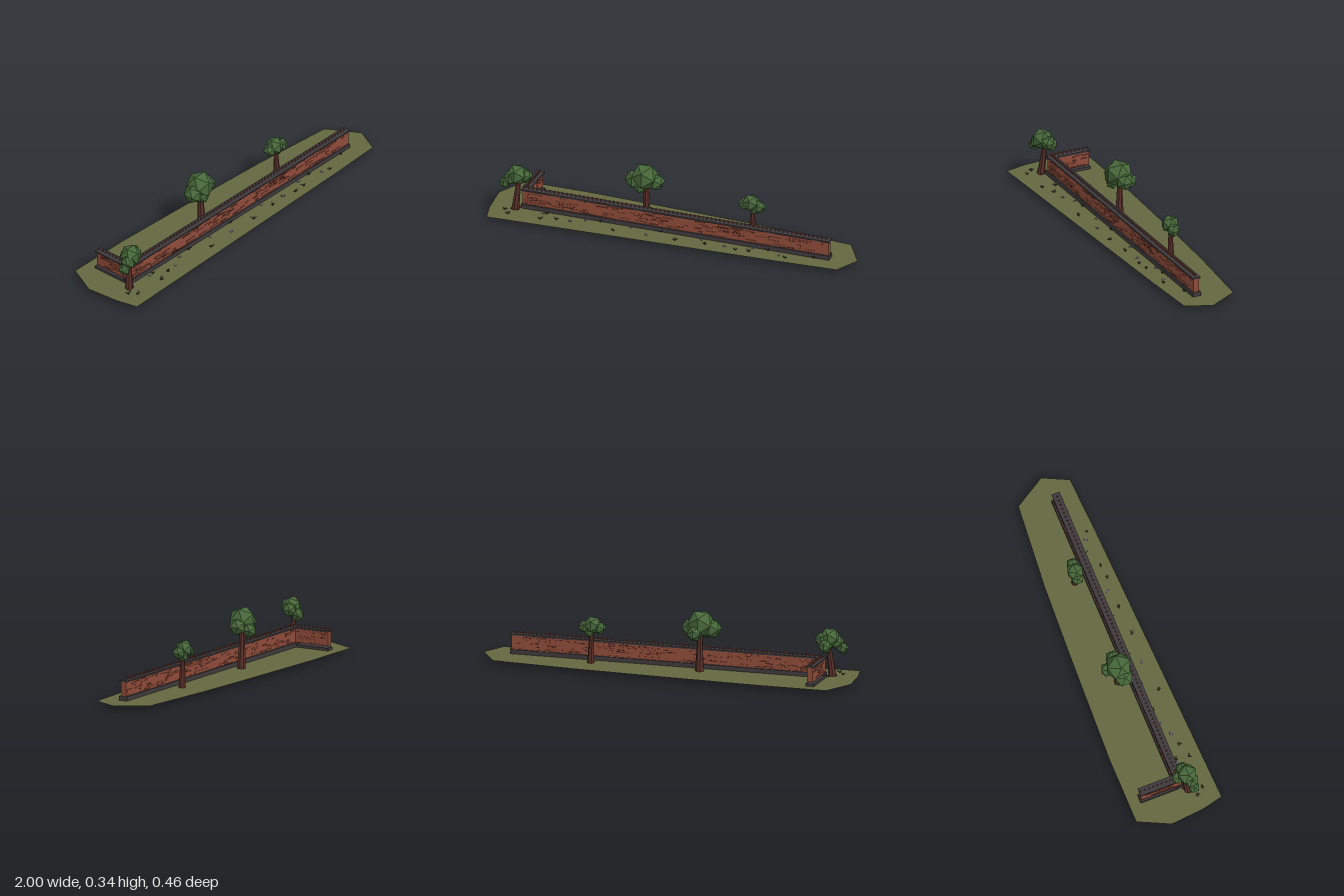
import * as THREE from 'three';
import { mergeGeometries } from 'three/addons/utils/BufferGeometryUtils.js';

const GROUND = 0.025;

export function createModel() {
  const root = new THREE.Group();
  root.name = 'walledGarden';

  const paint = (name, color, extra = {}) => {
    const m = new THREE.MeshStandardMaterial({ color, flatShading: true, ...extra });
    m.name = name;
    return m;
  };
  const mats = {
    ground: paint('mossyGround', 0x62673f, { side: THREE.DoubleSide }),
    brick: paint('redBrick', 0x8e4b39),
    darkBrick: paint('darkBrick', 0x572c24),
    stone: paint('darkStone', 0x3e393c),
    bark: paint('bark', 0x5a3029),
    leaf: paint('leaves', 0x47683a),
    grass: paint('grassBlades', 0x2b3a22, { side: THREE.DoubleSide }),
    pebble: paint('pebble', 0x5c5c66),
  };

  let seed = 7;
  const rand = (a = 0, b = 1) => {
    seed = (seed * 16807) % 2147483647;
    return a + (b - a) * (seed / 2147483647);
  };
  const add = (parent, name, geo, mat) => {
    const mesh = new THREE.Mesh(geo, mat);
    mesh.name = name;
    parent.add(mesh);
    return mesh;
  };
  const group = (name) => {
    const g = new THREE.Group();
    g.name = name;
    root.add(g);
    return g;
  };
  // box given by its limits
  const box = (x0, x1, y0, y1, z0, z1) => new THREE.BoxGeometry(x1 - x0, y1 - y0, z1 - z0)
    .translate((x0 + x1) / 2, (y0 + y1) / 2, (z0 + z1) / 2);
  // tapered round piece running between two points
  const limb = (a, b, ra, rb, sides = 7) => {
    const p = new THREE.Vector3(...a), q = new THREE.Vector3(...b);
    const d = q.clone().sub(p);
    const geo = new THREE.CylinderGeometry(rb, ra, d.length(), sides);
    geo.applyQuaternion(new THREE.Quaternion().setFromUnitVectors(
      new THREE.Vector3(0, 1, 0), d.clone().normalize()));
    return geo.translate(...p.add(q).multiplyScalar(0.5).toArray());
  };

  // Ground sheet
  const outline = [[-0.92, -0.235], [-0.556, -0.235], [0.05, -0.21], [0.444, -0.19], [0.9, -0.15],
    [1, 0.016], [0.936, 0.15], [0.62, 0.166], [-0.957, 0.222], [-0.984, 0.107], [-1, -0.07]];
  const sheet = new THREE.Shape(outline.map(([x, z]) => new THREE.Vector2(x, -z)));
  add(root, 'ground', new THREE.ShapeGeometry(sheet).rotateX(-Math.PI / 2).translate(0, GROUND, 0), mats.ground);

  // Brick wall along local x, centred on z = 0
  function buildWall(name, length, bodyBottom, baseTop, spikeStart) {
    const wall = group(name);
    const half = length / 2;
    add(wall, 'base', box(-half, half, GROUND - 0.001, baseTop, -0.023, 0.023), mats.stone);
    add(wall, 'body', box(-half + 0.005, half - 0.005, bodyBottom, 0.123, -0.015, 0.015), mats.brick);
    add(wall, 'cap', box(-half, half, 0.122, 0.13, -0.022, 0.022), mats.stone);

    // uneven bricks, raised from both faces
    const rows = 8, rowH = (0.121 - bodyBottom) / rows;
    const sets = { darkBrick: [], brick: [] };
    for (const side of [-1, 1]) {
      for (let i = 0; i < length * 85; i++) {
        const w = rand(0.015, 0.065), x = rand(-half + 0.006, half - 0.006 - w);
        const y = bodyBottom + Math.floor(rand(0, rows)) * rowH;
        const dark = rand() < 0.4;
        const d = dark ? rand(0.001, 0.002) : rand(0.002, 0.003);
        const h = dark ? rowH * rand(0.35, 0.8) : rowH * 0.85;
        const z = side * (0.015 + d / 2);
        sets[dark ? 'darkBrick' : 'brick'].push(box(x, x + w, y, y + h, z - d / 2, z + d / 2));
      }
    }
    add(wall, 'darkBricks', mergeGeometries(sets.darkBrick), mats.darkBrick);
    add(wall, 'raisedBricks', mergeGeometries(sets.brick), mats.brick);

    // row of spearheads
    const spikes = [];
    for (let x = -half + spikeStart; x < half - 0.008; x += 0.0233) {
      spikes.push(new THREE.CylinderGeometry(0.005, 0.0032, 0.006, 6).translate(x, 0.133, 0));
      spikes.push(new THREE.ConeGeometry(0.005, 0.012, 6).translate(x, 0.142, 0));
    }
    add(wall, 'spikes', mergeGeometries(spikes), mats.brick);
    return wall;
  }
  buildWall('longWall', 1.69, 0.045, 0.048, 0.012).position.set(0.015, 0, 0.039);
  const sideWall = buildWall('sideWall', 0.21, 0.048, 0.039, 0.015);
  sideWall.rotation.y = Math.PI / 2;
  sideWall.position.set(-0.812, 0, -0.07);

  // Trees: trunk from foot to crown, blobs are [x, y, z, half height]
  function buildTree(name, foot, crown, r, blobs) {
    const tree = group(name);
    add(tree, 'trunk', limb(foot, crown, r, r * 0.55), mats.bark);
    blobs.forEach(([x, y, z, h], i) => {
      const top = [x, y, z];
      if (i) add(tree, 'branch', limb(crown, top, r * 0.35, r * 0.2, 5), mats.bark);
      add(tree, 'foliage', new THREE.IcosahedronGeometry(h / 0.85, 0).translate(...top), mats.leaf);
    });
    return tree;
  }
  const corner = buildTree('cornerTree', [-0.855, 0.02, 0.077], [-0.84, 0.19, 0.062], 0.021, [
    [-0.842, 0.223, 0.077, 0.048], [-0.805, 0.215, 0.065, 0.034], [-0.872, 0.203, 0.087, 0.035],
    [-0.905, 0.172, 0.09, 0.027], [-0.83, 0.187, 0.033, 0.031]]);
  buildTree('middleTree', [-0.175, GROUND, -0.033], [-0.18, 0.225, -0.037], 0.023, [
    [-0.185, 0.275, -0.035, 0.063], [-0.24, 0.252, -0.03, 0.045], [-0.128, 0.252, -0.04, 0.04],
    [-0.165, 0.232, -0.088, 0.034], [-0.2, 0.225, -0.005, 0.03]]);
  buildTree('rightTree', [0.408, GROUND, -0.037], [0.402, 0.19, -0.038], 0.019, [
    [0.395, 0.225, -0.04, 0.041], [0.36, 0.213, -0.043, 0.03], [0.44, 0.212, -0.036, 0.03],
    [0.412, 0.188, -0.045, 0.024]]);

  // Roots reaching below the ground, and a leaning shoot
  for (const [x, z] of [[-0.874, 0.087], [-0.842, 0.087], [-0.842, 0.056]]) {
    add(corner, 'root', limb([x, 0.005, z], [x + 0.006, 0.032, z - 0.002], 0.011, 0.006, 6), mats.bark);
  }
  add(corner, 'shoot', limb([-0.86, 0.022, 0.08], [-0.85, 0.056, 0.098], 0.005, 0.002, 5), mats.bark);

  // Grass tufts
  const tufts = [[-0.87, 0.15], [-0.69, 0.15], [-0.68, 0.08], [-0.61, 0.125], [-0.39, 0.07], [-0.295, 0.14],
    [-0.065, 0.065], [0.04, 0.13], [0.2, 0.12], [0.37, 0.125], [0.44, 0.12], [0.53, 0.07], [0.64, 0.12], [0.78, 0.07],
    [-0.9, 0.11]];
  const grass = group('grass');
  for (const [x, z] of tufts) {
    const blades = [];
    for (let i = 0; i < 8; i++) {
      const a = (i / 8) * Math.PI * 2 + rand(-0.3, 0.3), reach = rand(0.006, 0.018);
      const h = rand(0.008, 0.017);
      blades.push(limb([x, GROUND, z],
        [x + Math.cos(a) * reach, GROUND + h, z + Math.sin(a) * reach], 0.0016, 0.0003, 3));
    }
    add(grass, 'tuft', mergeGeometries(blades), mats.grass);
  }

  // Pebbles along the foot of the wall
  const pebbles = group('pebbles');
  for (const [x, z] of [[-0.7, 0.08], [-0.47, 0.075], [-0.225, 0.07], [-0.54, 0.11], [0.165, 0.07],
    [0.3, 0.1], [0.45, 0.07], [0.6, 0.1], [-0.12, 0.12]]) {
    const p = add(pebbles, 'pebble', new THREE.IcosahedronGeometry(0.011, 0), mats.pebble);
    p.scale.set(1.1, 0.35, 0.9);
    p.rotation.y = rand(0, 3);
    p.position.set(x, GROUND + 0.001, z);
  }
  return root;
}
